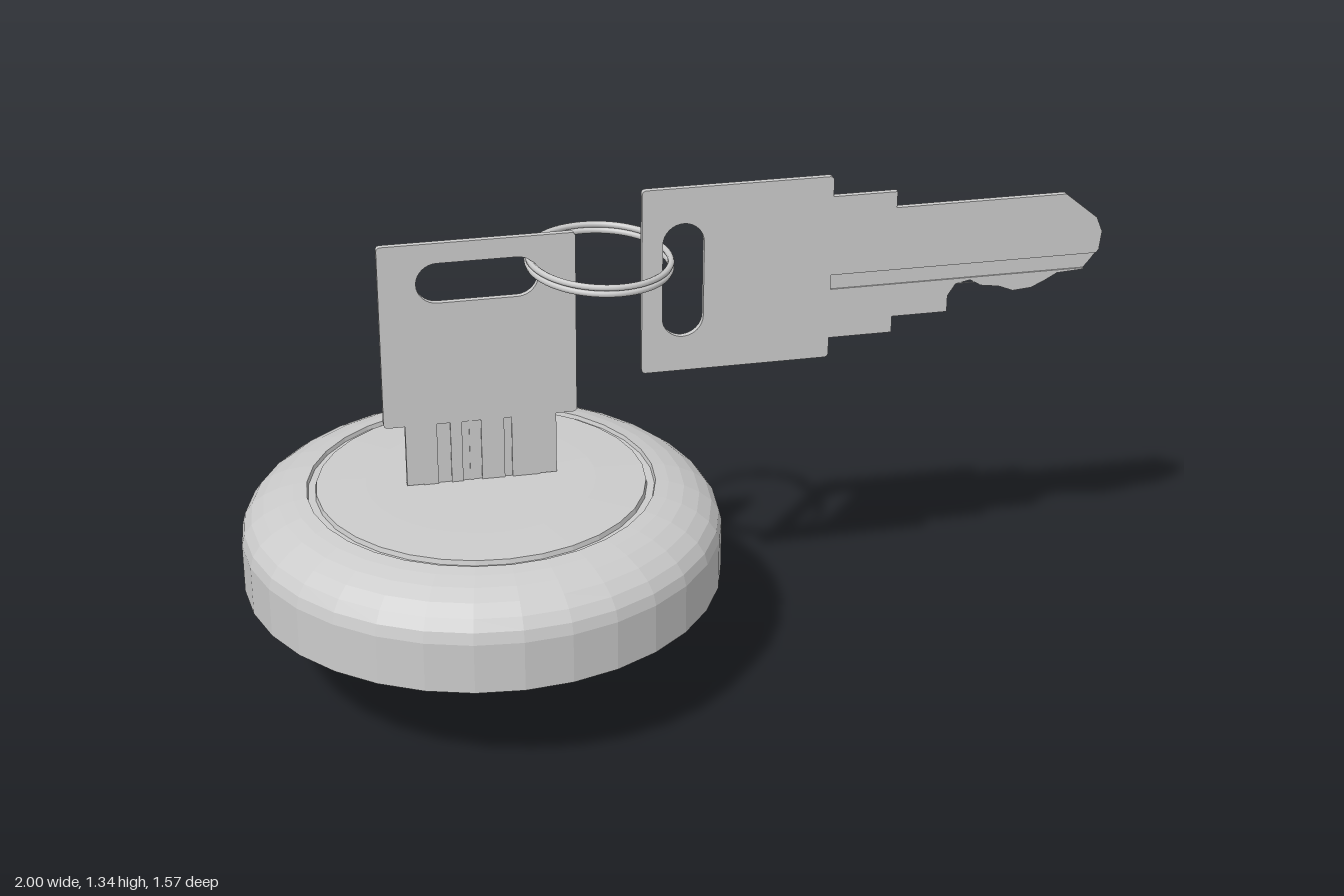
import * as THREE from 'three';

const material = new THREE.MeshStandardMaterial({ color: 0xcccccc, flatShading: true });
const smooth = new THREE.MeshStandardMaterial({ color: 0xcccccc });
const TURN = -0.59; // both keys lie in parallel upright planes

function addMesh(parent, name, geometry, mat = material) {
  const mesh = new THREE.Mesh(geometry, mat);
  mesh.name = name;
  parent.add(mesh);
  return mesh;
}

// Plate cut from a shape, between two z levels
function plate(shape, z0, z1) {
  const g = new THREE.ExtrudeGeometry(shape, { depth: z1 - z0, bevelEnabled: false, curveSegments: 8 });
  return g.translate(0, 0, z0);
}

// Shoulders, blade and teeth; x runs from the head to the tip
const BLADE = [
  [0.5, -0.197], [0.67, -0.197], [0.67, -0.152], [0.82, -0.152], [0.82, -0.107],
  [0.84, -0.075], [0.88, -0.067], [0.91, -0.085], [0.96, -0.092], [1.0, -0.108],
  [1.05, -0.104], [1.09, -0.085], [1.12, -0.068], [1.19, -0.064], [1.21, -0.04],
  [1.232, -0.01], [1.237, 0.04], [1.22, 0.08], [1.13, 0.153], [0.67, 0.153],
  [0.67, 0.197], [0.5, 0.197],
];

// Keep the part of a polygon on one side of a line y = level
function clip(points, level, side) {
  const out = [];
  points.forEach((a, i) => {
    const b = points[(i + 1) % points.length];
    const da = (a[1] - level) * side, db = (b[1] - level) * side;
    if (da >= 0) out.push(a);
    if (da * db < 0) out.push([a[0] + (b[0] - a[0]) * da / (da - db), level]);
  });
  return out;
}

const toShape = (points) => new THREE.Shape(points.map(([x, y]) => new THREE.Vector2(x, y)));

// Raised lands left between milled grooves
function addLands(parent, name, bands, z0, z1) {
  for (const [low, high] of bands) {
    addMesh(parent, name, plate(toShape(clip(clip(BLADE, low, 1), high, -1)), z0, z1));
  }
}

function makeKey(name) {
  const key = new THREE.Group();
  key.name = name;

  // Square head with small rounded corners and a long slot
  const h = 0.252, c = 0.012;
  const head = new THREE.Shape();
  head.moveTo(c, -h);
  head.lineTo(0.5 - c, -h);
  head.quadraticCurveTo(0.5, -h, 0.5, -h + c);
  head.lineTo(0.5, h - c);
  head.quadraticCurveTo(0.5, h, 0.5 - c, h);
  head.lineTo(c, h);
  head.quadraticCurveTo(0, h, 0, h - c);
  head.lineTo(0, -h + c);
  head.quadraticCurveTo(0, -h, c, -h);
  const slot = new THREE.Path();
  slot.absarc(0.108, 0.102, 0.054, 0, Math.PI, false);
  slot.absarc(0.108, -0.102, 0.054, Math.PI, Math.PI * 2, false);
  slot.closePath();
  head.holes.push(slot);
  addMesh(key, 'keyHead', plate(head, -0.008, 0.008));

  // Blade core with three grooves on one face and one on the other
  addMesh(key, 'keyBlade', plate(toShape(BLADE), -0.003, 0.004));
  addLands(key, 'groovedFaceLand', [[-0.2, -0.08], [-0.06, 0], [0.05, 0.08], [0.115, 0.2]], -0.008, -0.003);
  addLands(key, 'plainFaceLand', [[-0.2, -0.06], [-0.02, 0.2]], 0.004, 0.008);
  // Thin rib inside the middle groove
  const rib = new THREE.BoxGeometry(0.7, 0.008, 0.003);
  addMesh(key, 'grooveRib', rib.translate(0.85, 0.027, -0.0045));
  return key;
}

// Two-turn helix for the split ring
class Coil extends THREE.Curve {
  getPoint(t, target = new THREE.Vector3()) {
    const a = t * Math.PI * 4;
    return target.set(0.183 * Math.cos(a), (t - 0.5) * 0.034, 0.183 * Math.sin(a));
  }
}

export function createModel() {
  const model = new THREE.Group();
  model.name = 'lockWithKeys';

  // Domed lock cover with a ring groove around the centre disc
  const profile = [
    [0, 0.3], [0.63, 0.3], [0.63, 0.435], [0.622, 0.465], [0.602, 0.493], [0.57, 0.518],
    [0.53, 0.538], [0.49, 0.55], [0.455, 0.556], [0.452, 0.545], [0.433, 0.545],
    [0.43, 0.558], [0.3, 0.564], [0, 0.566],
  ].map(([r, y]) => new THREE.Vector2(r, y));
  const cover = addMesh(model, 'lockCover', new THREE.LatheGeometry(profile, 32));
  cover.position.set(-0.37, 0, -0.16);

  // Key standing in the lock
  const inserted = new THREE.Group();
  inserted.name = 'insertedKey';
  const upright = makeKey('uprightKey');
  upright.quaternion.setFromAxisAngle(new THREE.Vector3(1, -1, 0).normalize(), Math.PI);
  inserted.add(upright);
  inserted.position.set(-0.37, 1.237, -0.157);
  inserted.rotation.y = TURN;
  model.add(inserted);

  // Spare key hanging level from the ring
  const spare = makeKey('spareKey');
  spare.position.set(-0.03, 1.087, 0.09);
  spare.rotation.y = TURN;
  model.add(spare);

  // Split ring, slightly tilted, with closed wire ends
  const ring = new THREE.Group();
  ring.name = 'keyRing';
  const coil = new Coil();
  addMesh(ring, 'ringWire', new THREE.TubeGeometry(coil, 128, 0.0085, 8), smooth);
  for (const t of [0, 1]) {
    addMesh(ring, 'ringWireEnd', new THREE.SphereGeometry(0.0085, 8, 6), smooth).position.copy(coil.getPoint(t));
  }
  ring.position.set(-0.093, 1.146, 0.002);
  ring.rotation.x = 0.055;
  model.add(ring);

  return model;
}
